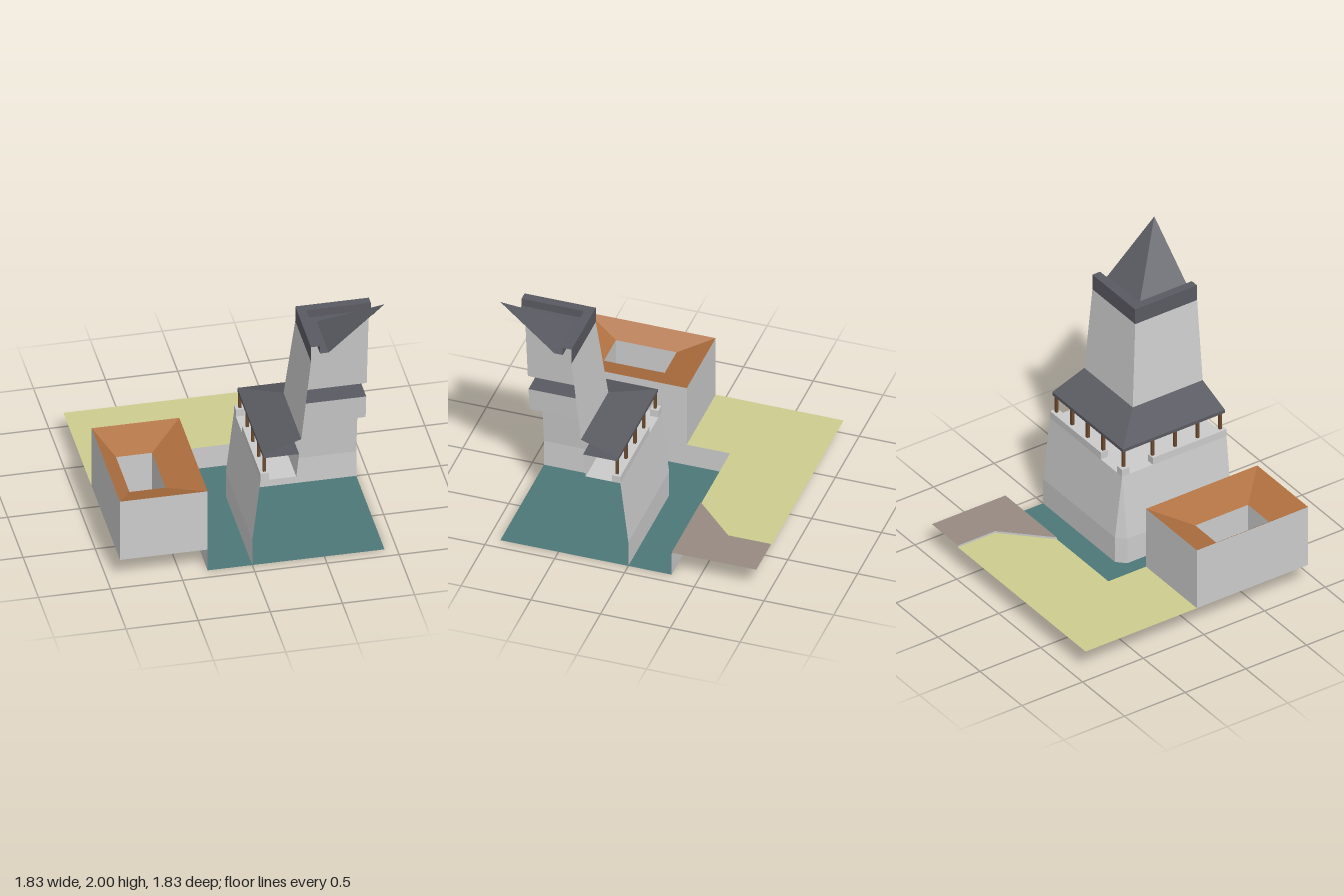
import * as THREE from 'three';

const C = 0.917; // half width of the square plot; the tower is cut open at x = C and z = C

const material = (color) =>
  new THREE.MeshStandardMaterial({ color, flatShading: true, side: THREE.DoubleSide });
const stone = material(0xcccccc);
const slate = material(0x5a5a62);
const tile = material(0xb07040);
const wood = material(0x6b4a2e);
const water = material(0x4d7878);
const grass = material(0xcccc8f);
const dirt = material(0x968a82);
const sand = material(0xccb27f);

// Skin a stack of point rows with flat faces
function loft(rows) {
  const positions = [];
  const triangle = (a, b, c) => {
    if (new THREE.Triangle(a, b, c).getArea() < 1e-8) return;
    for (const p of [a, b, c]) positions.push(p.x, p.y, p.z);
  };
  for (let i = 0; i < rows.length - 1; i++) {
    for (let j = 0; j < rows[i].length - 1; j++) {
      const [a, b, c, d] = [rows[i][j], rows[i][j + 1], rows[i + 1][j + 1], rows[i + 1][j]];
      triangle(a, c, b);
      triangle(a, d, c);
    }
  }
  const geometry = new THREE.BufferGeometry();
  geometry.setAttribute('position', new THREE.Float32BufferAttribute(positions, 3));
  geometry.computeVertexNormals();
  return geometry;
}

const v = (x, y, z) => new THREE.Vector3(x, y, z);

// Carry a profile of [inset, height] round the tower corner; an optional third value chamfers it
const cornerSweep = (profile) => loft(profile.map(([d, y, cut = 0]) =>
  [v(d, y, C), v(d, y, d + cut), v(d + cut, y, d), v(C, y, d)]));

// Closed rectangular ring at height y
const ring = (x0, x1, z0, z1, y) =>
  [v(x0, y, z1), v(x0, y, z0), v(x1, y, z0), v(x1, y, z1), v(x0, y, z1)];

// Flat upward-facing sheet from [x, z] outline points
function sheet(points, y) {
  const shape = new THREE.Shape(points.map(([x, z]) => new THREE.Vector2(x, -z)));
  return new THREE.ShapeGeometry(shape).rotateX(-Math.PI / 2).translate(0, y, 0);
}
const rect = (x0, x1, z0, z1) => [[x0, z0], [x0, z1], [x1, z1], [x1, z0]];

export function createModel() {
  const model = new THREE.Group();
  model.name = 'castleCorner';
  const add = (name, geometry, mat, parent = model) => {
    const mesh = new THREE.Mesh(geometry, mat);
    mesh.name = name;
    parent.add(mesh);
    return mesh;
  };

  // Ground and moat
  const bank = 0.17, road = 0.185, edge = -0.31;
  add('moatWater', sheet(rect(edge, C, edge, C), 0), water);
  add('moatWall', cornerSweep([[edge, bank], [edge, 0]]), stone);
  const roadEdge = [[0.305, edge], [0.605, -0.61], [0.605, -C]];
  add('grass', sheet([[-C, -C], [-C, 0], [edge, 0], [edge, edge], ...roadEdge], bank), grass);
  add('road', sheet([...roadEdge, [C, -C], [C, edge]], road), dirt);
  add('roadKerb', loft([bank, road].map((y) => roadEdge.map(([x, z]) => v(x, y, z)))), stone);

  // Courtyard house with an inward-sloping roof
  const house = new THREE.Group();
  house.name = 'house';
  model.add(house);
  const outer = [-C, edge, 0, C], court = [-0.8, -0.55, 0.24, 0.675];
  add('houseWalls', loft([ring(...outer, bank), ring(...outer, 0.645)]), stone, house);
  add('houseRoof', loft([ring(...outer, 0.645), ring(...court, 0.55)]), tile, house);
  add('courtyardWalls', loft([ring(...court, 0.55), ring(...court, bank)]), stone, house);
  add('houseBase', sheet(rect(...outer), bank), stone, house);
  add('courtyardFloor', sheet(rect(...court), bank + 0.008), sand, house);

  // Tower, from battered base to spire
  const tower = new THREE.Group();
  tower.name = 'tower';
  model.add(tower);
  const deck = 0.68, lip = 0.057;
  add('towerBase', cornerSweep([[0, 0, 0.06], [0, 0.2, 0.06], [lip, deck]]), stone, tower);
  add('walkway', cornerSweep([[lip, deck], [0.305, deck]]), stone, tower);
  add('lowerWall', cornerSweep([[0.305, deck], [0.325, 0.86]]), stone, tower);
  add('galleryRoof',
    cornerSweep([[0.325, 0.86], [0.076, 0.86], [0.076, 0.885], [0.34, 0.98]]), slate, tower);
  add('upperWall', cornerSweep([[0.34, 0.98], [0.407, 1.6]]), stone, tower);
  add('crown', cornerSweep(
    [[0.407, 1.6], [0.407, 1.72], [0.47, 1.72], [0.47, 1.66], [0.53, 1.66]]), slate, tower);
  add('spire', cornerSweep([[0.53, 1.66], [C, 2]]), slate, tower);

  // Parapet and gallery posts, mirrored over the corner diagonal
  const block = (name, x0, x1, z0, z1, y0, y1, mat) => add(name,
    new THREE.BoxGeometry(x1 - x0, y1 - y0, z1 - z0)
      .translate((x0 + x1) / 2, (y0 + y1) / 2, (z0 + z1) / 2), mat, tower);
  const top = 0.735, inner = lip + 0.06;
  block('cornerParapet', lip, inner, lip, inner, deck, top, stone);
  block('parapet', 0.31, C, lip, inner, deck, top, stone);
  block('parapet', lip, inner, 0.31, C, deck, top, stone);
  const r = 0.01, line = 0.09;
  for (const p of [line, 0.33, 0.515, 0.7, 0.885]) {
    block('post', p - r, p + r, line - r, line + r, top, 0.86, wood);
    if (p !== line) block('post', line - r, line + r, p - r, p + r, top, 0.86, wood);
  }
  return model;
}
